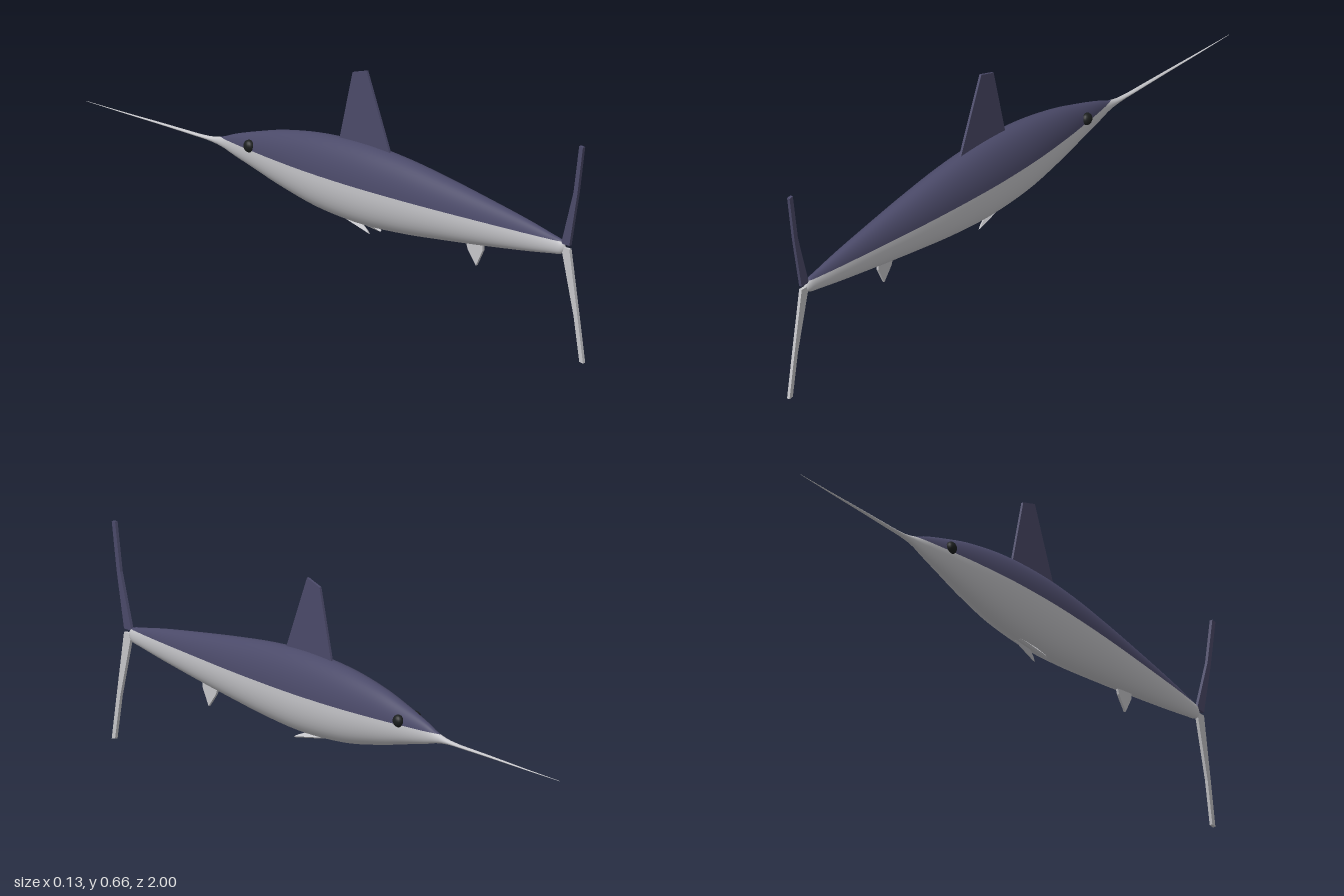
import * as THREE from 'three';

const mat = (name, color, side = THREE.FrontSide) => {
  const m = new THREE.MeshStandardMaterial({ color, side });
  m.name = name;
  return m;
};

// Skin over elliptical sections [z, centreY, halfHeight, halfWidth];
// arc(c, h) returns the start and end angle covered at each section.
function skin(sections, stations, around, arc) {
  const curves = [1, 2, 3].map(k =>
    new THREE.SplineCurve(sections.map(s => new THREE.Vector2(s[0], s[k]))));
  const pos = [], index = [];
  for (let j = 0; j <= stations; j++) {
    const [c, h, w] = curves.map(curve => curve.getPoint(j / stations));
    const hh = Math.max(h.y, 0.0004), ww = Math.max(w.y, 0.0004);
    const [a0, a1] = arc(c.y, hh);
    for (let i = 0; i <= around; i++) {
      const a = a0 + (a1 - a0) * i / around;
      pos.push(ww * Math.cos(a), c.y + hh * Math.sin(a), c.x);
      if (i < around && j < stations) {
        const p = j * (around + 1) + i, q = p + around + 1;
        index.push(p, p + 1, q, p + 1, q + 1, q);
      }
    }
  }
  const g = new THREE.BufferGeometry();
  g.setAttribute('position', new THREE.Float32BufferAttribute(pos, 3));
  g.setIndex(index);
  g.computeVertexNormals();
  return g;
}

// Flat fin from an outline of [z, y] points, centred on x = 0
function finGeometry(points, thickness) {
  const shape = new THREE.Shape(points.map(p => new THREE.Vector2(...p)));
  const g = new THREE.ExtrudeGeometry(shape, { depth: thickness, bevelEnabled: false });
  return g.translate(0, 0, -thickness / 2).rotateY(-Math.PI / 2);
}

export function createModel() {
  const group = new THREE.Group();
  const blue = mat('backBlue', 0x4b4a69);
  const silver = mat('bellySilver', 0xc6c6ca);
  const black = mat('eyeBlack', 0x1b1e1e);
  const add = (name, geometry, material) => {
    const m = new THREE.Mesh(geometry, material);
    m.name = name;
    group.add(m);
    return m;
  };

  // Body, split along a level colour line
  const body = [
    [-0.56, 0.320, 0.004, 0.007], [-0.50, 0.321, 0.007, 0.008], [-0.45, 0.323, 0.016, 0.011],
    [-0.40, 0.326, 0.032, 0.019], [-0.31, 0.329, 0.056, 0.033], [-0.20, 0.330, 0.083, 0.048],
    [-0.05, 0.328, 0.108, 0.062], [0.12, 0.327, 0.117, 0.067], [0.28, 0.327, 0.109, 0.063],
    [0.44, 0.326, 0.091, 0.054], [0.60, 0.324, 0.070, 0.041], [0.76, 0.322, 0.047, 0.027],
    [0.86, 0.320, 0.030, 0.017], [0.91, 0.319, 0.020, 0.011], [0.925, 0.319, 0.001, 0.001],
  ];
  const lineY = 0.336;
  const cut = (c, h) => Math.asin(THREE.MathUtils.clamp((lineY - c) / h, -1, 1));
  add('upperBody', skin(body, 84, 24, (c, h) => [cut(c, h), Math.PI - cut(c, h)]), blue);
  add('lowerBody', skin(body, 84, 24, (c, h) => [Math.PI - cut(c, h), 2 * Math.PI + cut(c, h)]), silver);

  // Long flattened bill
  const bill = [
    [-1, 0.319, 0.0005, 0.0005], [-0.85, 0.319, 0.0015, 0.003],
    [-0.70, 0.320, 0.003, 0.005], [-0.55, 0.320, 0.0045, 0.007],
  ];
  add('bill', skin(bill, 16, 12, () => [0, 2 * Math.PI]), silver);

  // Fins on the centre line
  add('dorsalFin', finGeometry(
    [[0.015, 0.42], [0.22, 0.42], [0.22, 0.44], [0.128, 0.658], [0.072, 0.642]], 0.007), blue);
  add('upperTailFin', finGeometry(
    [[0.912, 0.33], [0.945, 0.33], [0.978, 0.49], [1, 0.628], [0.985, 0.63], [0.962, 0.49]], 0.009), blue);
  add('lowerTailFin', finGeometry(
    [[0.912, 0.32], [0.962, 0.13], [0.985, 0.002], [1, 0], [0.978, 0.13], [0.945, 0.32]], 0.009), silver);
  add('analFin', finGeometry(
    [[0.53, 0.245], [0.535, 0.23], [0.568, 0.189], [0.595, 0.238], [0.595, 0.26]], 0.007), silver);

  // Paired pectoral fins and eyes
  const pectoral = finGeometry([[0.04, 0.01], [0.05, 0], [0.16, -0.022], [0.145, -0.012], [0.10, 0.01]], 0.007);
  const eye = new THREE.SphereGeometry(0.018, 16, 12);
  for (const [side, name] of [[1, 'left'], [-1, 'right']]) {
    const fin = add(name + 'PectoralFin', pectoral, silver);
    fin.position.set(side * 0.009, 0.212, 0);
    fin.rotation.z = side * 0.62;
    const ball = add(name + 'Eye', eye, black);
    ball.position.set(side * 0.031, 0.347, -0.315);
    ball.scale.x = 0.8;
  }
  return group;
}
